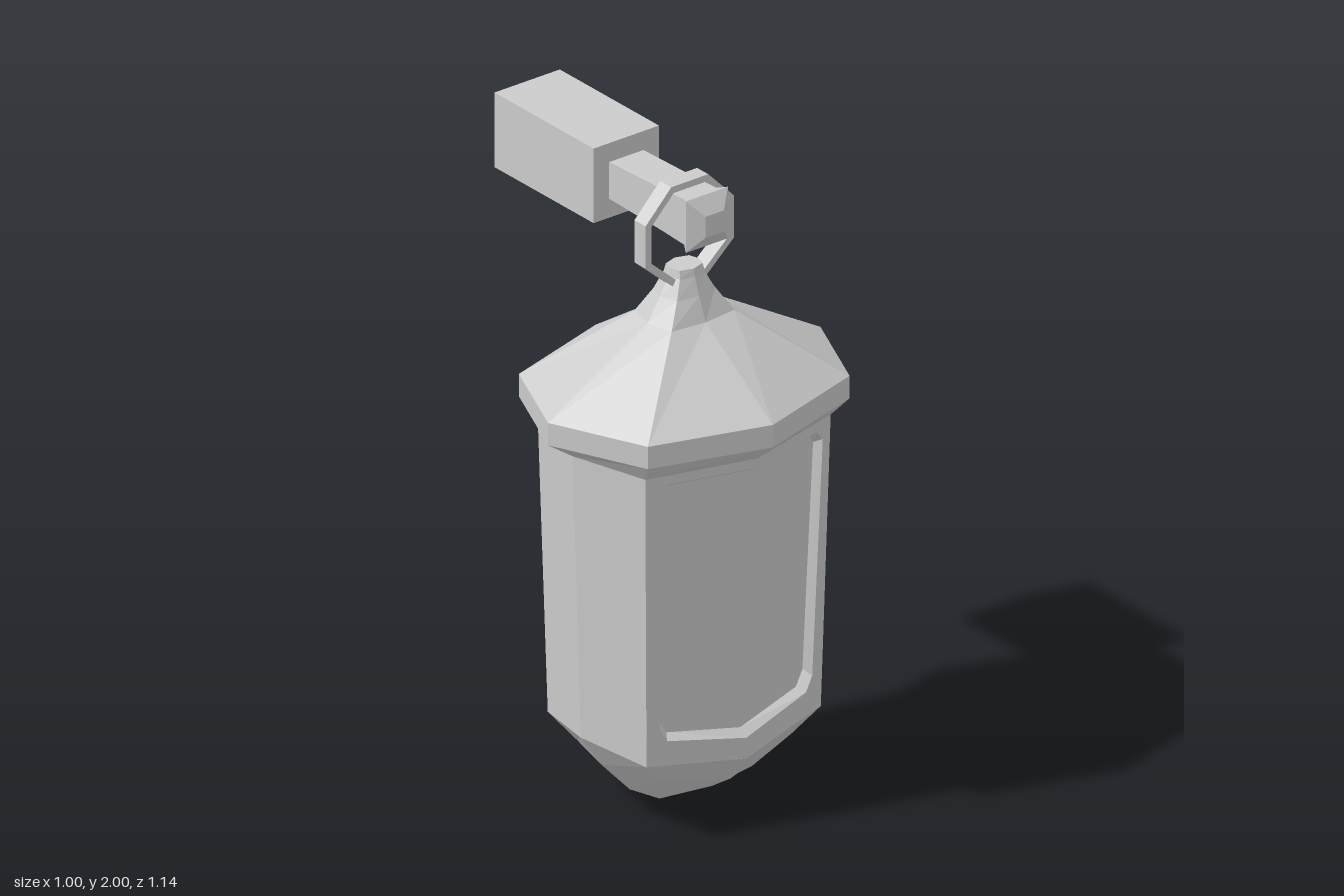
import * as THREE from 'three';

const ZC = 0.157; // depth of the lantern's vertical axis
const material = new THREE.MeshStandardMaterial({ color: 0xcccccc, flatShading: true, side: THREE.DoubleSide });

function build(name, points, index) {
  const geometry = new THREE.BufferGeometry();
  geometry.setAttribute('position', new THREE.Float32BufferAttribute(points.flat(), 3));
  geometry.setIndex(index);
  const flat = geometry.toNonIndexed();
  flat.computeVertexNormals();
  const mesh = new THREE.Mesh(flat, material);
  mesh.name = name;
  return mesh;
}

// Skin a stack of rings that run counter-clockwise about the stacking axis
function loft(name, rings, { capStart = false, capEnd = false, skip = [] } = {}) {
  const n = rings[0].length, index = [];
  for (let i = 0; i < rings.length - 1; i++) {
    for (let j = 0; j < n; j++) {
      if (skip.includes(j)) continue;
      const a = i * n + j, b = i * n + (j + 1) % n;
      index.push(a, b, b + n, a, b + n, a + n);
    }
  }
  const last = (rings.length - 1) * n;
  for (let j = 1; j < n - 1; j++) {
    if (capStart) index.push(0, j + 1, j);
    if (capEnd) index.push(last, last + j, last + j + 1);
  }
  return build(name, rings.flat(), index);
}

// Octagon with corners on the ridge (front/back), diagonals and sides
function octagon([ridgeZ, ridgeY], [diagX, diagZ, diagY], [sideX, sideY]) {
  return [
    [0, ridgeY, ridgeZ], [diagX, diagY, diagZ], [sideX, sideY, 0], [diagX, diagY, -diagZ],
    [0, ridgeY, -ridgeZ], [-diagX, diagY, -diagZ], [-sideX, sideY, 0], [-diagX, diagY, diagZ],
  ].map(([x, y, z]) => [x, y, z + ZC]);
}
const level = (y, side, diagX, diagZ, ridge) => octagon([ridge, y], [diagX, diagZ, y], [side, y]);

// Rectangle facing along z
const rectangle = (z, hx, hy, y) =>
  [[1, -1], [1, 1], [-1, 1], [-1, -1]].map(([sx, sy]) => [sx * hx, y + sy * hy, z]);

// Depth of the folded, leaning front wall
function frontZ(x, y) {
  const t = (y - 0.24) / 0.96;
  const ridge = THREE.MathUtils.lerp(0.443, 0.5, t);
  const diag = THREE.MathUtils.lerp(0.386, 0.407, t);
  return ridge + (diag - ridge) * Math.abs(x) / THREE.MathUtils.lerp(0.32, 0.34, t);
}

// Fill a half outline, press it onto the front wall, and mirror it
function frontFace(name, outline, depth) {
  const shape = new THREE.Shape(outline.map(([x, y]) => new THREE.Vector2(x, y)));
  const flat = new THREE.ShapeGeometry(shape);
  const p = flat.attributes.position, idx = [...flat.index.array];
  const group = new THREE.Group();
  group.name = name;
  for (const s of [1, -1]) {
    const points = [];
    for (let i = 0; i < p.count; i++) {
      const x = p.getX(i), y = p.getY(i);
      points.push([s * x, y, frontZ(x, y) - depth]);
    }
    group.add(build(name + (s > 0 ? 'Left' : 'Right'), points, s > 0 ? idx : [...idx].reverse()));
  }
  return group;
}

export function createModel() {
  const model = new THREE.Group();

  // Rounded, faceted base
  const wallBottom = octagon([0.285, 0.217], [0.32, 0.229, 0.265], [0.38, 0.29]);
  const wallTop = level(1.205, 0.41, 0.34, 0.25, 0.343);
  model.add(loft('base', [
    octagon([0, 0], [0, 0, 0], [0, 0]),
    octagon([0.13, 0.068], [0.17, 0.1, 0.068], [0.2, 0.068]),
    octagon([0.215, 0.125], [0.255, 0.175, 0.175], [0.305, 0.18]),
    wallBottom,
  ]));

  // Side and back walls, leaving the two front faces open for the window
  model.add(loft('walls', [wallBottom, wallTop], { skip: [0, 7] }));

  // Window: frame, bevelled reveal and sunken pane
  const depth = 0.03;
  const outer = [[0, 0.285], [0.255, 0.335], [0.28, 0.38], [0.305, 1.14], [0.275, 1.175], [0, 1.175]];
  const inner = [[0, 0.308], [0.238, 0.348], [0.265, 0.395], [0.29, 1.125], [0.27, 1.157], [0, 1.157]];
  model.add(frontFace('windowFrame', [[0, 0.217], [0.32, 0.265], [0.34, 1.205], [0, 1.205], ...[...outer].reverse()], 0));
  model.add(frontFace('windowPane', inner, depth));
  const loop = (half, d) => [...half, ...half.slice(1, -1).reverse().map(([x, y]) => [-x, y])]
    .map(([x, y]) => [x, y, frontZ(x, y) - d]);
  model.add(loft('windowReveal', [loop(inner, depth), loop(outer, 0)]));

  // Roof: flared eaves, band, slope and neck
  model.add(loft('roof', [
    wallTop,
    level(1.268, 0.5, 0.37, 0.3, 0.412),
    level(1.34, 0.5, 0.37, 0.3, 0.412),
    level(1.548, 0.135, 0.115, 0.087, 0.1),
    level(1.62, 0.09, 0.07, 0.055, 0.07),
    level(1.675, 0.058, 0.046, 0.038, 0.05),
    level(1.7, 0.052, 0.042, 0.032, 0.045),
  ], { capEnd: true }));

  // Eight-sided hanging ring
  const ringPoints = [[0.068, 1.975], [0.162, 1.878], [0.162, 1.742], [0.06, 1.652]];
  const ringOutline = (k) => [...ringPoints, ...[...ringPoints].reverse().map(([x, y]) => [-x, y])]
    .map(([x, y]) => new THREE.Vector2(x * k, 1.812 + (y - 1.812) * k));
  const ringShape = new THREE.Shape(ringOutline(1));
  ringShape.holes.push(new THREE.Path(ringOutline(0.87)));
  const ring = new THREE.Mesh(
    new THREE.ExtrudeGeometry(ringShape, { depth: 0.052, bevelEnabled: false }), material);
  ring.position.z = ZC - 0.026;
  ring.name = 'hangingRing';
  model.add(ring);

  // Arm with a blunt knob at its end
  model.add(loft('arm', [
    rectangle(-0.112, 0.063, 0.059, 1.88),
    rectangle(0.13, 0.061, 0.067, 1.88),
    rectangle(0.232, 0.06, 0.073, 1.88),
    rectangle(0.262, 0.077, 0.083, 1.88),
    rectangle(0.298, 0.034, 0.034, 1.88),
  ], { capEnd: true }));

  // Hollow wall mount, open at the back
  model.add(loft('wallMount', [
    rectangle(-0.573, 0.12, 0.12, 1.88),
    rectangle(-0.112, 0.12, 0.12, 1.88),
  ], { capEnd: true }));

  return model;
}
